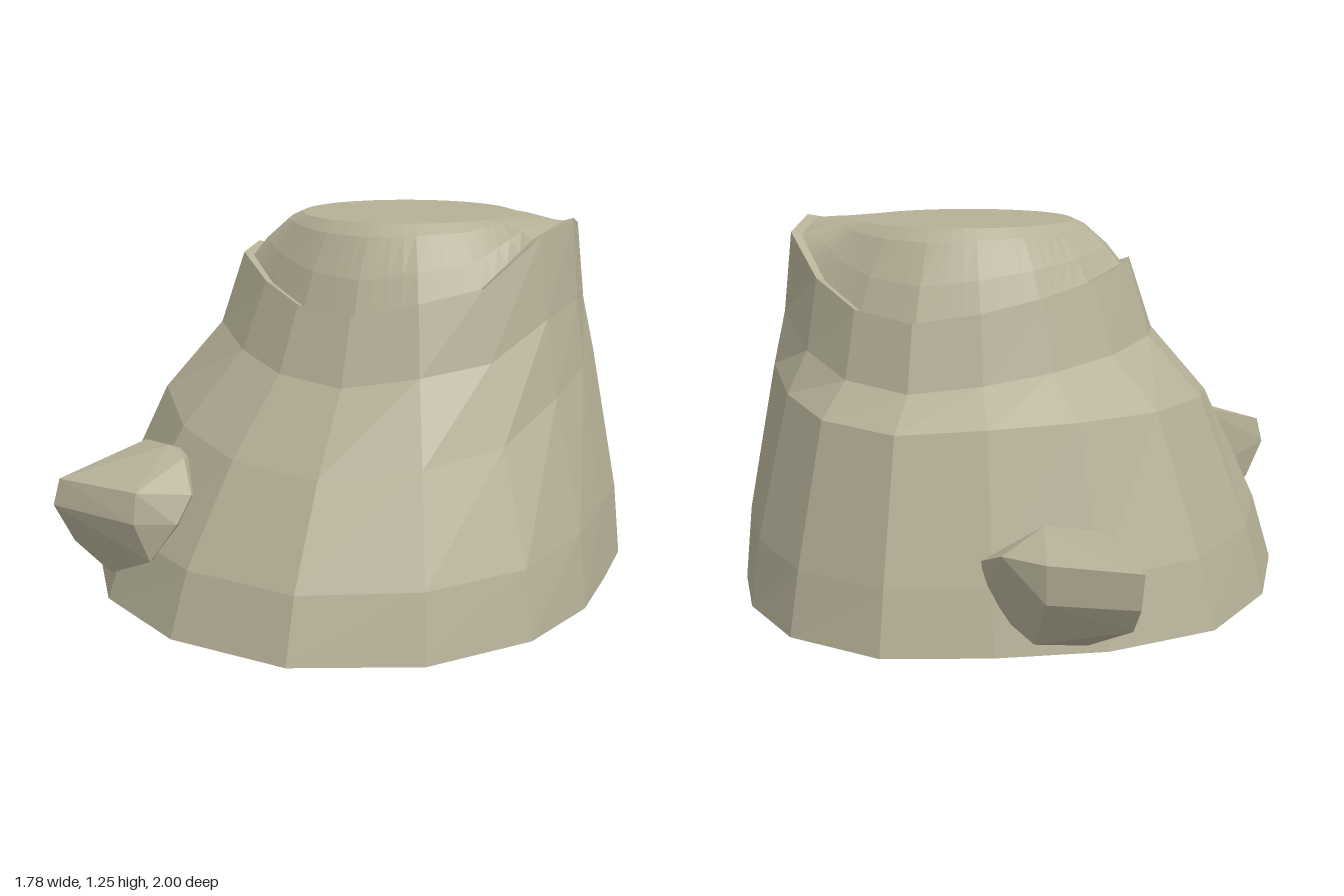
import * as THREE from 'three';
import { ConvexGeometry } from 'three/addons/geometries/ConvexGeometry.js';

// Sixteen spokes around the trunk axis, starting at +x and turning toward +z
const CX = 0.16, CZ = -0.1, SIDES = 16;
const baseR = [0.73, 0.79, 0.90, 1.02, 1.10, 1.11, 1.11, 1.11, 1.05, 1.02, 0.93, 0.87, 0.90, 0.87, 0.81, 0.78];
const rimR = [0.58, 0.57, 0.55, 0.56, 0.56, 0.54, 0.53, 0.57, 0.57, 0.54, 0.53, 0.53, 0.56, 0.55, 0.55, 0.59];
const rimY = [1.25, 1.21, 1.06, 1.02, 0.97, 0.99, 1.04, 1.11, 1.12, 1.08, 1.04, 1.00, 0.97, 1.00, 1.08, 1.21];
const TOP_R = 0.365, TOP_Y = 1.25;
const lerp = THREE.MathUtils.lerp;

function point(r, angle, y) {
  return [CX + r * Math.cos(angle), y, CZ + r * Math.sin(angle)];
}

// Point on the rim polygon, at a fractional spoke index
function rimPoint(t) {
  const k = Math.floor(t) % SIDES, n = (k + 1) % SIDES, f = t - Math.floor(t);
  const at = (i) => point(rimR[i], (i / SIDES) * Math.PI * 2, rimY[i]);
  const a = at(k), b = at(n);
  return a.map((v, i) => lerp(v, b[i], f));
}

// Skin a stack of closed rings, listed from bottom to top
function loft(rings) {
  const n = rings[0].length, index = [];
  for (let i = 0; i < rings.length - 1; i++) {
    for (let j = 0; j < n; j++) {
      const a = i * n + j, b = i * n + (j + 1) % n;
      index.push(a, a + n, b, b, a + n, b + n);
    }
  }
  const g = new THREE.BufferGeometry();
  g.setAttribute('position', new THREE.Float32BufferAttribute(rings.flat(2), 3));
  g.setIndex(index);
  g.computeVertexNormals();
  return g;
}

// Flared bark with a flat underside; the middle ring tilts and is slimmer on the +x side
function barkGeometry() {
  const profile = [[0, 1], [0.21, 0.87], [0.6, 0.52], [0.78, 0.15], [1, 0]];
  const rings = [Array.from({ length: SIDES }, () => [CX, 0, CZ])];
  profile.forEach(([h, f], i) => {
    rings.push(baseR.map((r, k) => {
      const angle = (k / SIDES) * Math.PI * 2;
      const middle = i === 2 ? 1 : 0;
      const height = h - middle * 0.075 * Math.sin(angle);
      const flare = f - middle * 0.18 * Math.max(0, Math.cos(angle)) ** 2;
      return point(lerp(rimR[k], r, flare), angle, height * rimY[k]);
    }));
  });
  return loft(rings);
}

// Rounded slope from the broken bark rim up to the round cut face
function collarGeometry() {
  const seg = 64;
  // outward share, height share, extra dip below the rim line
  const steps = [[1, 1, 0], [0.84, 1, 0.01], [0.6, 0.6, 0.005], [0.22, 0.15, 0], [0, 0, 0]];
  return loft(steps.map(([out, drop, dip]) => Array.from({ length: seg }, (_, j) => {
    const rim = rimPoint((j / seg) * SIDES);
    const angle = Math.atan2(rim[2] - CZ, rim[0] - CX);
    const r = Math.hypot(rim[0] - CX, rim[2] - CZ);
    return point(lerp(TOP_R, r, out), angle, lerp(TOP_Y, rim[1], drop) - dip);
  })));
}

function hull(points) {
  return new ConvexGeometry(points.map((p) => new THREE.Vector3(...p)));
}

export function createModel() {
  const group = new THREE.Group();
  group.name = 'treeStump';
  const wood = new THREE.MeshStandardMaterial({ color: 0xb5b097, flatShading: true });
  wood.name = 'weathered wood';
  const add = (name, geometry) => {
    const mesh = new THREE.Mesh(geometry, wood);
    mesh.name = name;
    group.add(mesh);
    return mesh;
  };

  add('bark', barkGeometry());
  add('collar', collarGeometry());

  // Flat cut face
  const cut = add('cutFace', new THREE.CircleGeometry(TOP_R, 64));
  cut.rotation.x = -Math.PI / 2;
  cut.position.set(CX, TOP_Y, CZ);

  // Faceted branch stubs, rooted inside the trunk
  add('frontBranchStub', hull([
    [-0.76, 0.42, 0.74], [-0.78, 0.33, 0.75], [-0.73, 0.20, 0.71], [-0.65, 0.11, 0.67], [-0.60, 0.10, 0.70],
    [-0.57, 0.51, 0.49], [-0.43, 0.53, 0.59], [-0.36, 0.50, 0.62], [-0.30, 0.40, 0.69], [-0.33, 0.31, 0.74],
    [-0.46, 0.41, 0.77], [-0.46, 0.31, 0.79], [-0.42, 0.18, 0.76],
    [-0.40, 0.45, 0.40], [-0.32, 0.30, 0.50], [-0.50, 0.20, 0.40],
  ]));
  add('backBranchStub', hull([
    [-0.65, 0.34, -1.0], [-0.64, 0.23, -1.0], [-0.61, 0.15, -0.96], [-0.36, 0.34, -1.0], [-0.36, 0.22, -1.0],
    [-0.21, 0.34, -0.95], [-0.12, 0.29, -0.86], [-0.13, 0.19, -0.85], [-0.21, 0.10, -0.86], [-0.32, 0.42, -0.87],
    [-0.46, 0.36, -0.69], [-0.54, 0.31, -0.76], [-0.53, 0.20, -0.76], [-0.50, 0.10, -0.79],
    [-0.45, 0.05, -0.85], [-0.30, 0.06, -0.91], [-0.30, 0.25, -0.60],
  ]));
  return group;
}
